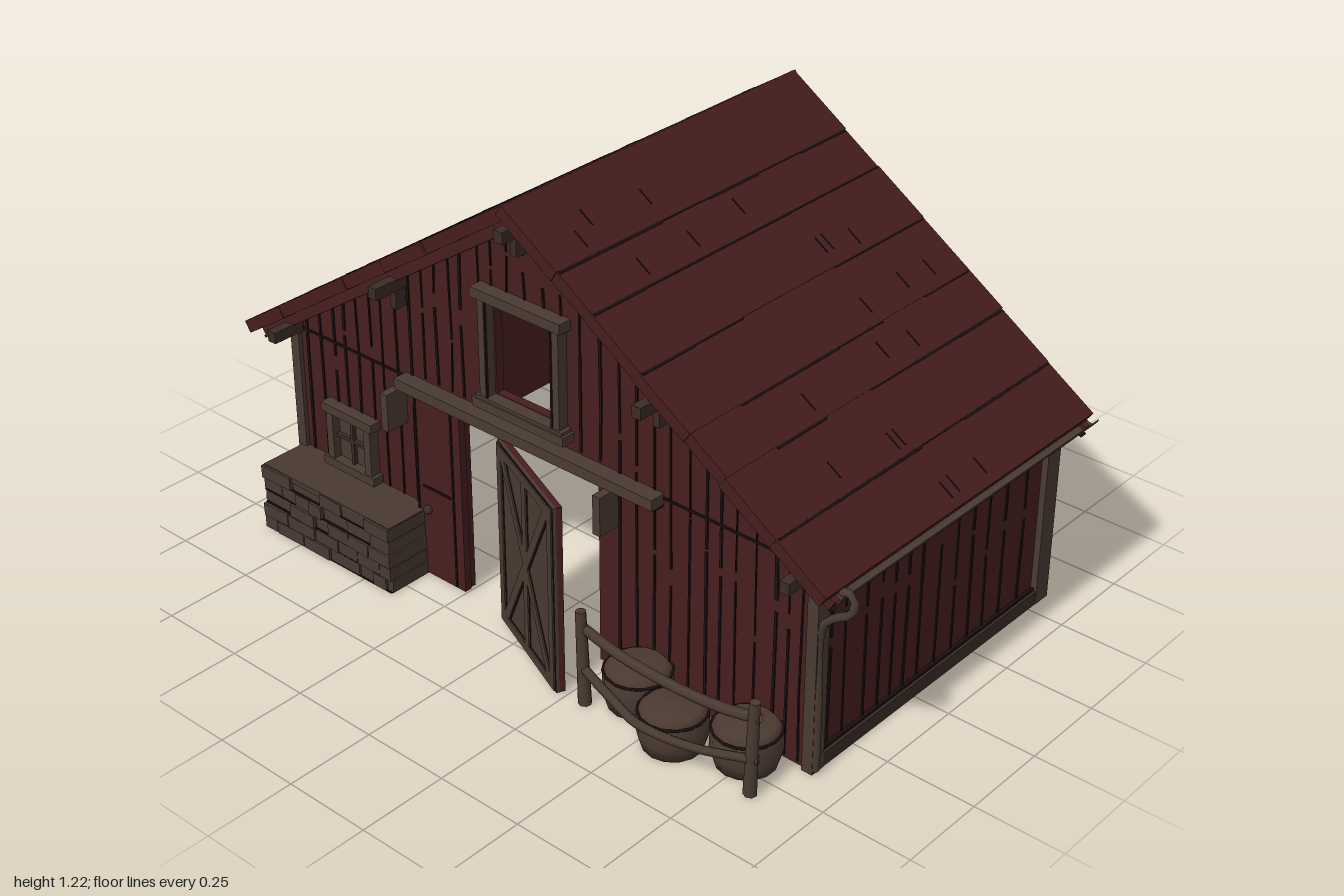
import * as THREE from 'three';

const mat = (name, color, side = THREE.FrontSide) => {
  const m = new THREE.MeshStandardMaterial({ color, side });
  m.name = name;
  return m;
};

export function createModel() {
  const root = new THREE.Group();
  root.name = 'barn';
  const red = mat('barnRed', 0x481f1f), roofRed = mat('roofRed', 0x441d1c);
  const wood = mat('weatheredWood', 0x4a3b32, THREE.DoubleSide), dark = mat('darkWood', 0x3b2c26);
  const stone = mat('stone', 0x493a32), basket = mat('basket', 0x4b3a31);
  const ink = mat('inkLine', 0x1c0f0e);

  let seed = 7;
  const rnd = (a = 0, b = 1) => {
    seed = (seed * 16807) % 2147483647;
    return a + (b - a) * (seed / 2147483647);
  };
  const add = (name, geo, m, parent = root) => {
    const mesh = new THREE.Mesh(geo, m);
    mesh.name = name;
    parent.add(mesh);
    return mesh;
  };
  // box given by its min and max corners
  const box = (name, m, x0, x1, y0, y1, z0, z1, parent = root) => {
    const b = add(name, new THREE.BoxGeometry(x1 - x0, y1 - y0, z1 - z0), m, parent);
    b.position.set((x0 + x1) / 2, (y0 + y1) / 2, (z0 + z1) / 2);
    return b;
  };
  // flat bar between two points in the xy plane
  const bar = (name, m, [ax, ay], [bx, by], w, z, d, parent = root) => {
    const b = add(name, new THREE.BoxGeometry(Math.hypot(bx - ax, by - ay), w, d), m, parent);
    b.position.set((ax + bx) / 2, (ay + by) / 2, z);
    b.rotation.z = Math.atan2(by - ay, bx - ax);
    return b;
  };
  const tube = (name, m, pts, r) => add(name, new THREE.TubeGeometry(
    new THREE.CatmullRomCurve3(pts.map(p => new THREE.Vector3(...p))), 24, r, 6), m);
  const rect = (x0, x1, y0, y1) => [[x0, y0], [x1, y0], [x1, y1], [x0, y1]].map(p => new THREE.Vector2(...p));
  const slab = (name, m, pts, holes, depth, parent = root) => {
    const s = new THREE.Shape(pts);
    holes.forEach(h => s.holes.push(new THREE.Path(rect(...h))));
    return add(name, new THREE.ExtrudeGeometry(s, { depth, bevelEnabled: false }), m, parent);
  };
  // inked plank seams on a wall, broken where they meet an opening and here and there along the way
  const seams = (u0, u1, step, yMin, top, gaps, z, parent) => {
    for (let u = u0; u < u1; u += step * rnd(0.75, 1.25)) {
      const gap = gaps.filter(g => u > g[0] - 0.01 && u < g[1] + 0.01).sort((a, b) => a[2] - b[2]);
      let y = yMin;
      for (const g of [...gap, [0, 0, top(u), 0]]) {
        if (g[2] - y > 0.03) {
          const mid = y + (g[2] - y) * rnd(0.3, 0.7), w = rnd(0.004, 0.008), v = u + rnd(-0.005, 0.005);
          bar('plankSeam', ink, [u, y], [v, mid], w, z, 0.005, parent);
          bar('plankSeam', ink, [v, mid + rnd(0, 0.05)], [u, g[2]], w * rnd(0.5, 1.3), z, 0.005, parent);
        }
        y = g[3];
      }
    }
  };
  // framed window with glazing bars, centred on its own origin
  const windowFrame = (name, w, h, cols, rows, parent = root, t = 0.025) => {
    const g = new THREE.Group();
    g.name = name;
    parent.add(g);
    for (const s of [-1, 1]) {
      bar('windowJamb', wood, [s * (w - t) / 2, -h / 2], [s * (w - t) / 2, h / 2], t, 0, 0.04, g);
      bar('windowRail', wood, [-w / 2 - 0.012, s * (h - t) / 2], [w / 2 + 0.012, s * (h - t) / 2], t, 0, 0.05, g);
    }
    for (let i = 1; i < cols; i++) bar('glazingBar', dark, [(i / cols - 0.5) * (w - t), -h / 2 + t], [(i / cols - 0.5) * (w - t), h / 2 - t], 0.01, 0, 0.015, g);
    for (let i = 1; i < rows; i++) bar('glazingBar', dark, [-w / 2 + t, (i / rows - 0.5) * (h - t)], [w / 2 - t, (i / rows - 0.5) * (h - t)], 0.01, 0, 0.015, g);
    return g;
  };

  // gable walls
  const roofY = x => 1.18 - 0.668 * Math.abs(x + 0.02);
  const V = (x, y) => new THREE.Vector2(x, y);
  const gable = [V(0.88, roofY(0.88)), V(-0.02, 1.18), V(-0.88, roofY(-0.88))];
  const hatch = [-0.13, 0.08, 0.645, 0.91], backHole = [-0.07, 0.02, 0.78, 0.92];
  slab('frontWall', red, [V(-0.88, 0), V(-0.26, 0), V(-0.26, 0.55), V(0.21, 0.55), V(0.21, 0), V(0.88, 0), ...gable],
    [hatch], 0.025).position.z = 0.375;
  slab('backWall', red, [V(-0.88, 0), V(0.88, 0), ...gable], [backHole], 0.025).position.z = -0.575;
  const line = x => roofY(x) - 0.02;
  seams(-0.84, 0.86, 0.052, 0.01, line, [[-0.42, 0.24, 0, 0.59], [-0.17, 0.12, 0.61, 0.94], [-0.77, -0.57, 0.2, 0.39]], 0.401, root);
  seams(-0.85, 0.86, 0.052, 0.01, line, [[-0.12, 0.07, 0.75, 0.95]], -0.576, root);
  box('gableSeam', ink, 0.42, 0.87, 0.567, 0.573, 0.399, 0.404);
  box('gableSeam', ink, -0.86, -0.46, 0.567, 0.573, 0.399, 0.404);

  // side walls, drawn with u = -z
  for (const s of [-1, 1]) {
    const wall = new THREE.Group();
    wall.name = s > 0 ? 'leftWall' : 'rightWall';
    wall.rotation.y = Math.PI / 2;
    root.add(wall);
    const hole = [-0.04, 0.18, 0.23, 0.45];
    slab('sideBoards', red, rect(-0.4, 0.575, 0, 0.575), s < 0 ? [hole] : [], 0.025, wall).position.z = s > 0 ? 0.855 : -0.88;
    seams(-0.34, 0.53, 0.068, 0.045, () => 0.55, s < 0 ? [[-0.07, 0.21, 0.2, 0.48]] : [], s * 0.881, wall);
    box('sill', dark, -0.4, 0.58, 0, 0.04, s * 0.885 - 0.012, s * 0.885 + 0.012, wall);
    box('sillEdge', ink, -0.4, 0.58, 0.04, 0.048, s * 0.882 - 0.008, s * 0.882 + 0.008, wall);
    if (s < 0) {
      windowFrame('sideWindow', 0.27, 0.27, 2, 3, wall, 0.035).position.set(0.07, 0.34, -0.88);
      // board leaning inside against the lower half of the window
      box('leaningBoard', wood, -0.07, 0.19, 0.1, 0.335, -0.855, -0.845, wall);
    }
    // corner posts
    box('frontPost', wood, s * 0.882 - 0.016, s * 0.882 + 0.016, 0, 0.57, 0.367, 0.412);
    box('frontPostEdge', ink, s * 0.882 - 0.01, s * 0.882 + 0.01, 0.04, 0.56, 0.362, 0.367);
    box('backPost', wood, s * 0.882 - 0.016, s * 0.882 + 0.016, 0, 0.57, -0.585, -0.53);
    // inside framing
    box('insidePlate', dark, s * 0.84 - 0.015, s * 0.84 + 0.015, 0.52, 0.56, -0.55, 0.375);
    box('insidePost', wood, s * 0.44 - 0.013, s * 0.44 + 0.013, 0, 0.56, 0.355, 0.375);
  }
  box('insideGirt', dark, -0.855, 0.855, 0.555, 0.585, 0.355, 0.375);

  // roof courses with lapped lower edges
  const a = Math.atan2(0.655, 0.98), c = Math.cos(a), n = Math.sin(a);
  const onRoof = (name, m, s, d0, d1, lift, t, z0, z1) => {
    const d = (d0 + d1) / 2, h = lift - t / 2;
    const b = add(name, new THREE.BoxGeometry(d1 - d0, t, z1 - z0), m);
    b.position.set(-0.02 + s * (d * c + h * n), 1.224 - d * n + h * c, (z0 + z1) / 2);
    b.rotation.z = -s * (a - 0.01);
  };
  const steps = [0, 0.21, 0.34, 0.52, 0.7, 0.83, 1.01, 1.182];
  for (const s of [-1, 1]) for (let i = 0; i < 7; i++) {
    const d0 = steps[i], d1 = steps[i + 1];
    onRoof('roofCourse', roofRed, s, d0, d1, 0, 0.035, -0.615 + rnd(-0.004, 0.004), 0.475 + rnd(-0.004, 0.004));
    if (i < 6) {
      for (let z = -0.61; z < 0.4; z += 0.18) if (rnd() < 0.85)
        onRoof('courseEdge', ink, s, d1, d1 + rnd(0.004, 0.008), 0.0015, 0.005, z, Math.min(z + 0.185, 0.47));
    }
    for (let k = 0; k < 3; k++) {
      const z = rnd(-0.57, 0.43), e = d1 - rnd(0.02, 0.07);
      onRoof('boardJoint', ink, s, e - 0.05, e, 0.002, 0.005, z, z + 0.004);
    }
  }
  // bargeboards below the roof edge on both gables
  for (const z of [0.425, -0.6]) for (const s of [-1, 1]) {
    const end = s > 0 ? 0.95 : -0.98;
    bar('bargeboard', red, [-0.02, 1.165], [end, roofY(end) - 0.012], 0.03, z, 0.02);
    bar('bargeboardShadow', ink, [-0.02, 1.148], [end, roofY(end) - 0.028], 0.007, z, 0.018);
  }
  // beam ends sticking out of the gables
  for (const [x, y, f, b] of [[-0.02, 1.145, 0.49, -0.61], [-0.45, 0.855, 0.51, -0.64], [0.43, 0.855, 0.51, -0.64], [-0.87, 0.575, 0.5, -0.635], [0.865, 0.565, 0.5, -0.635]]) {
    box('purlin', dark, x - 0.014, x + 0.014, y - 0.016, y + 0.016, b, f);
    if (Math.abs(x) < 0.5) for (const z of [0.43, -0.6]) box('purlinBrace', dark, x - 0.01, x + 0.01, y - 0.07, y, z - 0.025, z + 0.01);
  }

  // loft hatch
  windowFrame('loftHatch', 0.27, 0.32, 1, 1).position.set(-0.025, 0.778, 0.41);
  bar('hatchSill', wood, [-0.18, 0.622], [0.13, 0.622], 0.025, 0.42, 0.04);
  bar('hatchHead', wood, [-0.175, 0.93], [0.125, 0.93], 0.028, 0.42, 0.04);
  for (const x of [-0.136, 0.086]) box('hatchSeam', ink, x - 0.003, x + 0.003, 0.64, 0.91, 0.425, 0.432);
  // back window with its inside lining
  slab('windowLining', wood, rect(-0.14, 0.09, 0.64, 0.94), [backHole], 0.008).position.z = -0.549;
  box('liningSeam', ink, -0.075, 0.025, 0.772, 0.777, -0.543, -0.538);
  windowFrame('backWindow', 0.19, 0.2, 3, 3).position.set(-0.025, 0.85, -0.58);
  // front window
  box('windowPane', wood, -0.75, -0.59, 0.21, 0.38, 0.365, 0.406);
  windowFrame('frontWindow', 0.17, 0.19, 2, 2).position.set(-0.67, 0.295, 0.41);

  // back girt with a broken board hanging from it
  box('backGirt', wood, -0.89, 0.89, 0.548, 0.575, -0.592, -0.575);
  slab('brokenBoard', wood, [V(-0.43, 0.55), V(-0.37, 0.45), V(-0.15, 0.55)], [], 0.012).position.z = -0.592;

  // door rail and end brackets
  box('doorRail', wood, -0.46, 0.42, 0.552, 0.582, 0.4, 0.445);
  box('doorRailShadow', ink, -0.46, 0.42, 0.546, 0.552, 0.4, 0.435);
  for (const x of [-0.475, 0.265]) box('railBracket', wood, x - 0.012, x + 0.012, 0.43, 0.54, 0.4, 0.47);
  // closed red leaf
  box('redLeaf', red, -0.41, -0.25, 0.005, 0.54, 0.4, 0.422);
  for (const x of [-0.41, -0.28]) box('leafSeam', ink, x - 0.003, x + 0.003, 0.01, 0.54, 0.42, 0.425);
  box('leafHinge', ink, -0.39, -0.29, 0.276, 0.282, 0.42, 0.426);
  add('leafKnob', new THREE.SphereGeometry(0.013, 10, 8), dark).position.set(-0.375, 0.21, 0.426);

  // open plank leaf
  const leaf = new THREE.Group();
  leaf.name = 'openLeaf';
  leaf.position.set(-0.09, 0, 0.43);
  leaf.rotation.y = -Math.atan2(0.14, 0.32);
  root.add(leaf);
  box('leafBack', red, 0, 0.355, 0.005, 0.545, -0.012, 0.004, leaf);
  box('leafFront', wood, 0, 0.355, 0.005, 0.545, 0.004, 0.012, leaf);
  for (const [p, q] of [[[0.035, 0.03], [0.32, 0.52]], [[0.035, 0.52], [0.32, 0.03]], [[0.177, 0.02], [0.177, 0.53]],
    [[0.018, 0.01], [0.018, 0.54]], [[0.337, 0.01], [0.337, 0.54]], [[0.01, 0.525], [0.345, 0.525]], [[0.01, 0.022], [0.345, 0.022]]]) {
    bar('braceOutline', ink, p, q, 0.034, 0.012, 0.003, leaf);
    bar('leafBrace', wood, p, q, 0.026, 0.014, 0.006, leaf);
  }

  // gutter and downpipe
  const gutter = add('gutter', new THREE.CylinderGeometry(0.02, 0.02, 1.06, 8, 1, true, -Math.PI / 2, Math.PI), wood);
  gutter.rotation.x = Math.PI / 2;
  gutter.position.set(0.952, 0.548, -0.1);
  tube('downpipe', wood, [[0.95, 0.545, 0.4], [0.985, 0.545, 0.4], [0.985, 0.5, 0.4], [0.93, 0.46, 0.4], [0.9, 0.42, 0.4], [0.898, 0.2, 0.4], [0.898, 0.01, 0.4]], 0.011);

  // dry stone wall
  box('stoneCore', dark, -0.88, -0.4, 0, 0.185, 0.4, 0.545);
  for (let r = 0; r < 5; r++) {
    for (let x = -0.89; x < -0.41;) {
      const x1 = Math.min(x + rnd(0.05, 0.12), -0.39);
      box('stoneBlock', stone, x + 0.001, x1 - 0.002, r * 0.04 + 0.001, r * 0.04 + 0.038, 0.4, 0.55 + rnd(-0.003, 0.009)).rotation.z = rnd(-0.04, 0.04);
      x = x1;
    }
    box('stoneJoint', ink, -0.885, -0.395, r * 0.04 - 0.001, r * 0.04 + 0.001 + (r > 0 ? 0.001 : 0), 0.5, 0.553).position.y += 0.001;
  }
  box('stoneCap', stone, -0.885, -0.395, 0.185, 0.201, 0.4, 0.55);

  // baskets behind a curved fence
  for (const [x, z] of [[0.4, 0.47], [0.57, 0.535], [0.745, 0.47]]) {
    const g = new THREE.Group();
    g.name = 'strawBasket';
    g.position.set(x, 0, z);
    root.add(g);
    add('basketBody', new THREE.LatheGeometry([V(0, 0), V(0.078, 0), V(0.09, 0.04), V(0.088, 0.1), V(0.07, 0.116), V(0, 0.122)], 14), basket, g);
    const rim = add('basketRim', new THREE.TorusGeometry(0.087, 0.004, 5, 16), ink, g);
    rim.rotation.x = Math.PI / 2;
    rim.position.y = 0.1;
  }
  for (const [x, lean] of [[0.3, -0.04], [0.835, 0.03]]) {
    const post = add('fencePost', new THREE.CylinderGeometry(0.014, 0.018, 0.27, 7), wood);
    post.position.set(x, 0.135, 0.56);
    post.rotation.z = -lean;
  }
  tube('topRail', wood, [[0.285, 0.222, 0.555], [0.42, 0.2, 0.56], [0.6, 0.193, 0.56], [0.74, 0.205, 0.56], [0.85, 0.225, 0.555]], 0.014);
  tube('lowRail', wood, [[0.285, 0.105, 0.555], [0.44, 0.1, 0.605], [0.55, 0.1, 0.635], [0.7, 0.1, 0.615], [0.85, 0.105, 0.555]], 0.012);
  return root;
}
